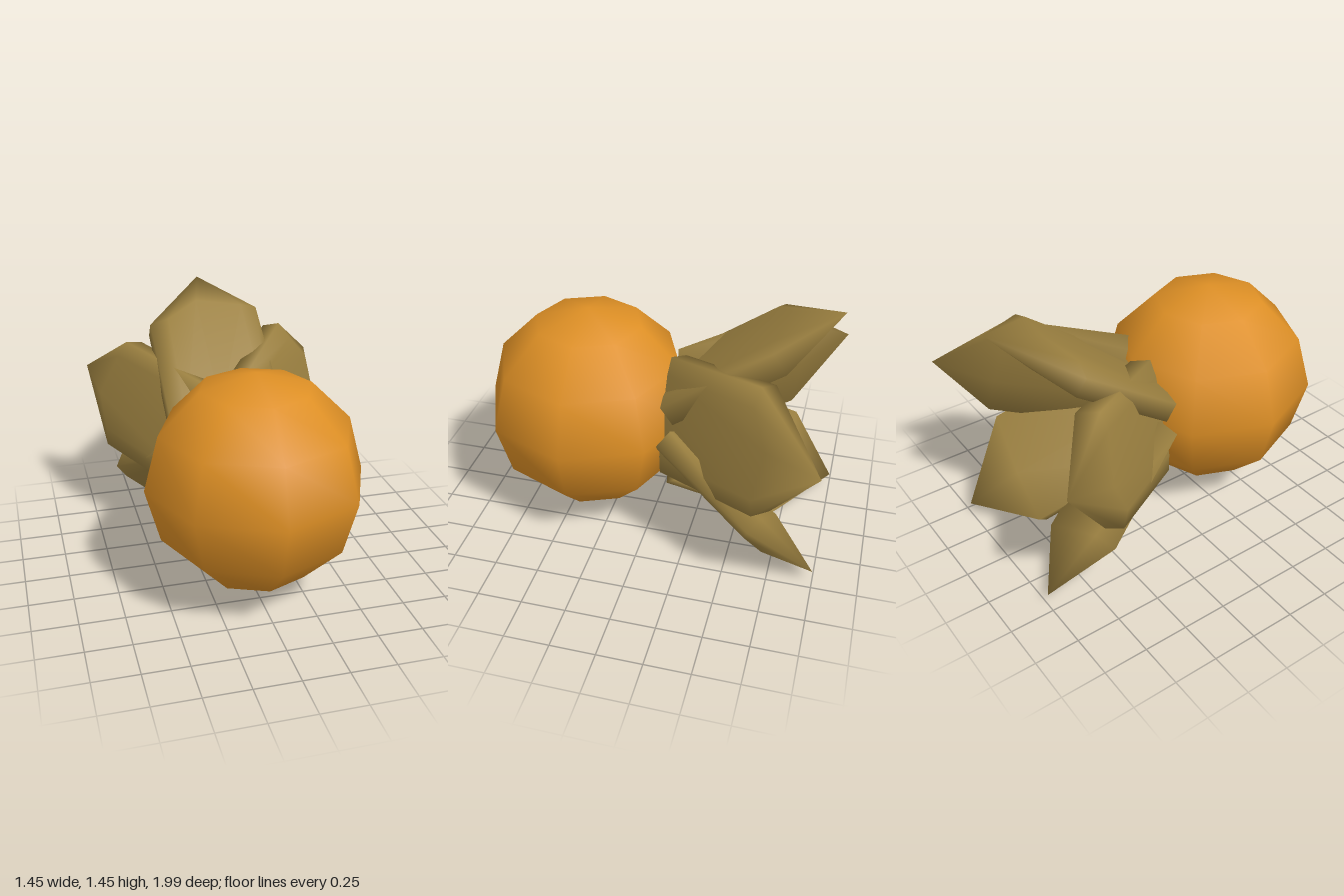
import * as THREE from 'three';

// Leaf cross-sections: [across, along, height] in the leaf's own tilted frame
const BASE = [
  [-0.366, 0.2, 0.11], [-0.27, 0.2, 0.13], [-0.07, 0.2, 0.14], [0.2, 0.2, 0.14],
  [0.295, 0.2, 0.125], [0.295, 0.2, 0.005], [0, 0.2, -0.02], [-0.366, 0.2, 0],
];
const SHOULDER = [
  [-0.366, 0.862, 0.105], [-0.26, 0.862, 0.15], [-0.07, 0.98, 0.165], [0.2, 0.92, 0.165],
  [0.295, 0.911, 0.139], [0.295, 0.915, 0.005], [0, 0.9, -0.035], [-0.366, 0.864, 0],
];
const TIP = [0, 1.256, 0.057];

// Leaves lean outwards while running towards the back
const tilt = ([u, s, n]) => [u, 0.57 * s + 0.82 * n, 0.57 * n - 0.82 * s];

function leafGeometry() {
  const points = [...BASE, ...SHOULDER, TIP, [-0.03, 0.2, 0.06]];
  const count = BASE.length;
  const tip = 2 * count, cap = tip + 1;
  const index = [];
  for (let i = 0; i < count; i++) {
    const j = (i + 1) % count;
    index.push(i, j, count + j, i, count + j, count + i); // blade
    index.push(count + i, count + j, tip);                // pointed end
    index.push(cap, j, i);                                // root cap
  }
  const geometry = new THREE.BufferGeometry();
  geometry.setAttribute('position', new THREE.Float32BufferAttribute(points.flatMap(tilt), 3));
  geometry.setIndex(index);
  geometry.computeVertexNormals();
  return geometry;
}

export function createModel() {
  const orange = new THREE.MeshStandardMaterial({ color: 0xdd8f25 });
  orange.name = 'orange';
  const olive = new THREE.MeshStandardMaterial({ color: 0x9b8040 });
  olive.name = 'olive brown';

  const model = new THREE.Group();
  model.name = 'fruitWithLeaves';

  // Round fruit at the front
  const fruit = new THREE.Mesh(new THREE.SphereGeometry(0.605, 8, 6), orange);
  fruit.name = 'fruit';
  fruit.position.set(0, 0.69, 0.39);
  model.add(fruit);

  // Five leaves fanned around the back
  const leaves = new THREE.Group();
  leaves.name = 'leaves';
  leaves.position.y = 0.69;
  const geometry = leafGeometry();
  for (let k = 0; k < 5; k++) {
    const leaf = new THREE.Mesh(geometry, olive);
    leaf.name = `leaf${k + 1}`;
    leaf.rotation.z = (k * Math.PI * 2) / 5;
    leaves.add(leaf);
  }
  model.add(leaves);
  return model;
}
